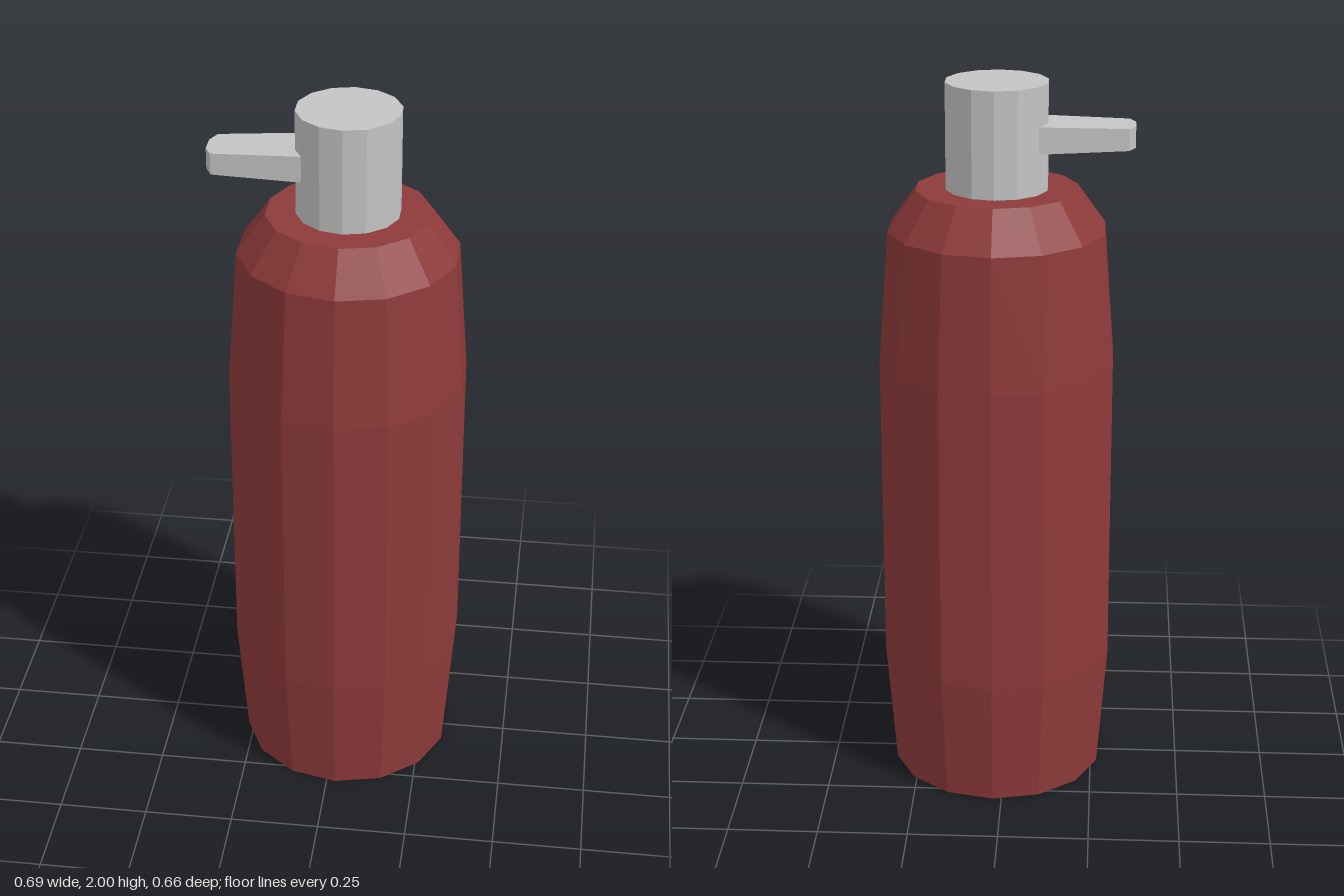
import * as THREE from 'three';

const SIDES = 14;

export function createModel() {
  const group = new THREE.Group();
  const red = new THREE.MeshStandardMaterial({ color: 0x8e3a3a });
  red.name = 'bottle red';
  const grey = new THREE.MeshStandardMaterial({ color: 0xc4c4c4 });
  grey.name = 'metal grey';
  red.flatShading = grey.flatShading = true;

  const add = (name, geometry, material, x = 0, y = 0) => {
    const mesh = new THREE.Mesh(geometry, material);
    mesh.name = name;
    mesh.position.set(x, y, 0);
    group.add(mesh);
  };
  const axisX = 0.025;

  // Bottle body: tapered foot, straight middle, sloped shoulder
  const profile = [[0.3, 0], [0.328, 0.36], [0.328, 1.23], [0.3, 1.6], [0.222, 1.71], [0, 1.71]]
    .map(([r, y]) => new THREE.Vector2(r, y));
  add('body', new THREE.LatheGeometry(profile, SIDES), red, axisX);

  // Flat underside
  const base = new THREE.CircleGeometry(0.3, SIDES, Math.PI / 2).rotateX(Math.PI / 2);
  add('base', base, grey, axisX);

  // Cap
  add('cap', new THREE.CylinderGeometry(0.14, 0.14, 0.29, SIDES), grey, axisX, 1.855);

  // Spout: plan outline extruded upward, thinning toward its tip
  const outline = [[-0.05, -0.081], [-0.05, 0.076], [-0.328, 0.07], [-0.345, 0.035], [-0.345, -0.018], [-0.328, -0.054]]
    .map(([x, z]) => new THREE.Vector2(x, z));
  const spout = new THREE.ExtrudeGeometry(new THREE.Shape(outline), { depth: 1, bevelEnabled: false })
    .translate(0, 0, -0.5)
    .rotateX(Math.PI / 2);
  const pos = spout.attributes.position;
  for (let i = 0; i < pos.count; i++) {
    const t = (pos.getX(i) + 0.345) / 0.255;
    pos.setY(i, pos.getY(i) * (0.058 + 0.015 * t));
  }
  spout.computeVertexNormals();
  add('spout', spout, grey, 0, 1.856);

  return group;
}
